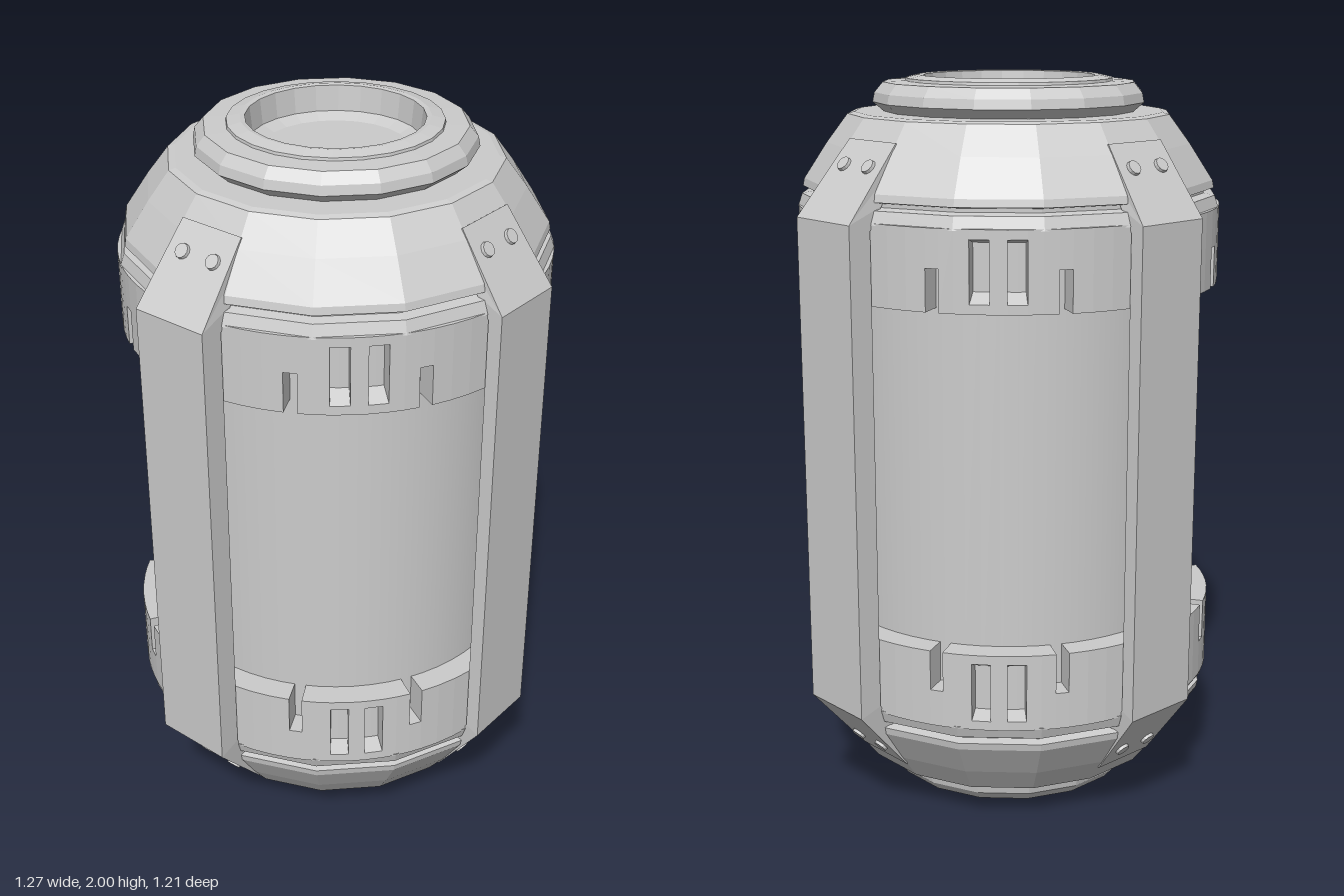
import * as THREE from 'three';

const material = new THREE.MeshStandardMaterial({ color: 0xcccccc, flatShading: true });
const smooth = new THREE.MeshStandardMaterial({ color: 0xcccccc });
const V = (x, y) => new THREE.Vector2(x, y);

function add(parent, geometry, name, mat = material) {
  const mesh = new THREE.Mesh(geometry, mat);
  mesh.name = name;
  parent.add(mesh);
  return mesh;
}

// A block bent round the y axis; slope0 / slope1 push its inner lower / upper edge outwards
function bentBlock(a0, a1, y0, y1, r0, r1, slope0 = 0, slope1 = 0) {
  const steps = Math.max(1, Math.ceil((a1 - a0) / 6));
  const g = new THREE.BoxGeometry(1, 1, 1, steps, 1, 1);
  const p = g.attributes.position;
  for (let i = 0; i < p.count; i++) {
    const a = THREE.MathUtils.degToRad(a0 + (p.getX(i) + 0.5) * (a1 - a0));
    const outer = p.getZ(i) > 0;
    const r = outer ? r1 : r0;
    let y = p.getY(i) > 0 ? y1 : y0;
    if (!outer) y += p.getY(i) > 0 ? slope1 : -slope0;
    p.setXYZ(i, Math.sin(a) * r, y, Math.cos(a) * r);
  }
  g.computeVertexNormals();
  return g;
}

// One quarter of the collar, with two windows and two slots in its free edge
function collarPanel() {
  const panel = new THREE.Group();
  panel.name = 'collarPanel';
  const low = 0.45, high = 0.66, inner = 0.5, outer = 0.575;
  const put = (a0, a1, y0, y1, s0, s1) =>
    add(panel, bentBlock(a0, a1, y0, y1, inner, outer, s0, s1), 'collarBlock');
  put(-2.2, 2.2, low, high);
  for (const s of [-1, 1]) {
    const span = (a, b, ...rest) => (s > 0 ? put(a, b, ...rest) : put(-b, -a, ...rest));
    span(2.2, 7.2, low, 0.475, 0, 0.035);
    span(2.2, 7.2, 0.635, high, 0.02, 0);
    span(7.2, 15, low, high);
    span(15, 18.5, 0.56, high);
    span(18.5, 45, low, high);
  }
  add(panel, bentBlock(-10, 10, 0.452, 0.65, 0.49, 0.525), 'windowBack');
  return panel;
}

// Stepped end cap with a dished opening
function endCap() {
  const cap = new THREE.Group();
  cap.name = 'endCap';
  const lathe = (points, sides, name) =>
    add(cap, new THREE.LatheGeometry(points, sides, Math.PI / sides), name);
  lathe([V(0.5, 0.655), V(0.577, 0.655), V(0.565, 0.69), V(0.535, 0.695), V(0.535, 0.705),
    V(0.562, 0.71), V(0.558, 0.73), V(0.495, 0.825), V(0.438, 0.9), V(0.42, 0.905),
    V(0.33, 0.905)], 16, 'shoulder');
  lathe([V(0.335, 0.9), V(0.37, 0.93), V(0.365, 0.955), V(0.342, 0.982), V(0.27, 0.985)], 16, 'stepRing');
  lathe([V(0.282, 0.98), V(0.28, 0.992), V(0.245, 1), V(0.232, 0.998), V(0.225, 0.93),
    V(0.19, 0.915), V(0, 0.915)], 24, 'dishedOpening');
  for (let i = 0; i < 4; i++) {
    const panel = collarPanel();
    panel.rotation.y = Math.PI / 4 + i * Math.PI / 2;
    cap.add(panel);
  }
  return cap;
}

// Long guard bar whose ends fold inwards onto the caps; reach is its outer distance
function guardBar(reach) {
  const bar = new THREE.Group();
  bar.name = 'guardBar';
  const half = [V(0.568, 0.64), V(0.53, 0.7), V(0.44, 0.83), V(0.47, 0.85), V(reach, 0.66)];
  const lower = half.map(p => V(p.x, -p.y)).reverse();
  const g = new THREE.ExtrudeGeometry(new THREE.Shape([...half, ...lower]),
    { depth: 0.22, bevelEnabled: false });
  g.translate(0, 0, -0.11);
  const p = g.attributes.position;
  for (let i = 0; i < p.count; i++) {
    if (Math.abs(p.getY(i)) > 0.8) p.setZ(i, p.getZ(i) * 0.87);
  }
  g.computeVertexNormals();
  add(bar, g, 'barBody');

  // Pairs of bolts on both folded ends
  const t = (0.79 - 0.66) / 0.19;
  const x = reach + (0.47 - reach) * t;
  const normal = new THREE.Vector3(0.19, reach - 0.47, 0).normalize();
  for (const end of [-1, 1]) for (const side of [-1, 1]) {
    const bolt = add(bar, new THREE.CylinderGeometry(0.019, 0.022, 0.016, 12), 'bolt');
    bolt.position.set(x, 0.79 * end, 0.05 * side);
    bolt.quaternion.setFromUnitVectors(new THREE.Vector3(0, 1, 0),
      new THREE.Vector3(normal.x, normal.y * end, 0));
  }
  return bar;
}

export function createModel() {
  const model = new THREE.Group();
  model.name = 'canister';
  const core = new THREE.Group();
  core.name = 'canisterParts';
  core.position.y = 1;
  model.add(core);

  // Smooth central drum
  add(core, new THREE.CylinderGeometry(0.508, 0.508, 1.32, 64, 1, true), 'drum', smooth);

  // Matching caps at top and bottom
  const top = endCap();
  const bottom = endCap();
  bottom.rotation.x = Math.PI;
  core.add(top, bottom);

  // Four guard bars, the side pair standing out slightly further
  for (let i = 0; i < 4; i++) {
    const bar = guardBar(i % 2 ? 0.607 : 0.633);
    bar.rotation.y = i * Math.PI / 2;
    core.add(bar);
  }
  return model;
}
